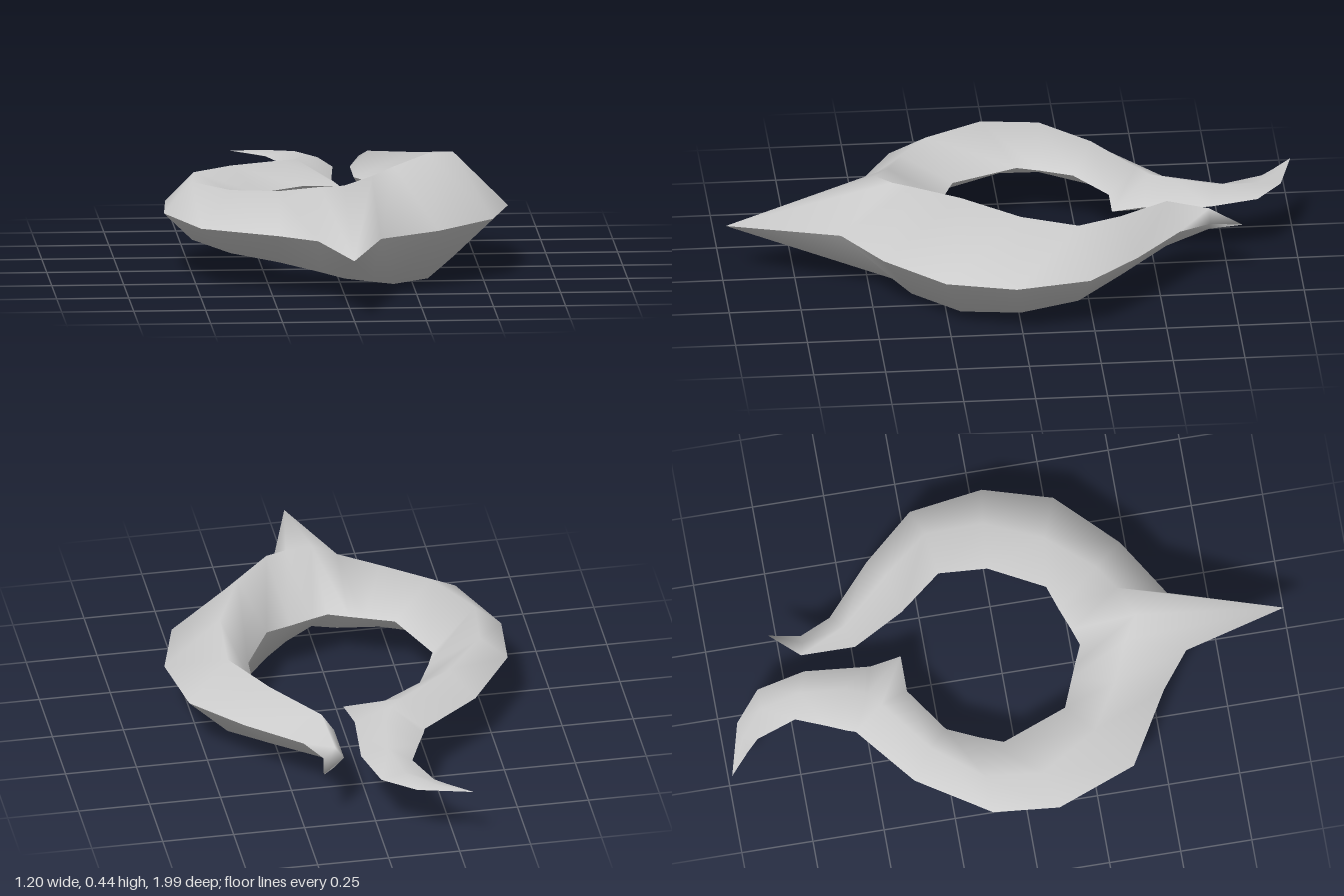
import * as THREE from 'three';

// Cross-sections: outer rim x,z, crest x,z, crest height, inner rim x,z
const tipLeft = [0.19, -0.79];
const tipRight = [-0.30, -1.0];
const leftHorn = [ // from the short horn forwards to the front spike
  [0.17, -0.68, 0.13, -0.68, 0.275, 0.10, -0.69],
  [0.22, -0.57, 0.15, -0.53, 0.32, 0.10, -0.50],
  [0.40, -0.41, 0.30, -0.36, 0.345, 0.20, -0.32],
  [0.56, -0.23, 0.42, -0.20, 0.375, 0.32, -0.17],
  [0.60, 0.03, 0.41, 0.00, 0.413, 0.31, 0.00],
  [0.53, 0.27, 0.31, 0.20, 0.445, 0.21, 0.19],
  [0.33, 0.47, 0.18, 0.36, 0.43, 0.12, 0.22],
  [0.12, 0.60, 0.10, 0.42, 0.408, 0.04, 0.25],
];
const spike = [[0, 0.99, 0, 0.47, 0.385, -0.02, 0.27]];
const rightHorn = [ // from the spike back to the long horn
  [-0.10, 0.63, -0.08, 0.42, 0.372, -0.09, 0.24],
  [-0.23, 0.53, -0.22, 0.36, 0.348, -0.14, 0.22],
  [-0.49, 0.38, -0.38, 0.26, 0.335, -0.24, 0.18],
  [-0.60, 0.10, -0.50, 0.06, 0.328, -0.33, -0.05],
  [-0.58, -0.13, -0.48, -0.14, 0.325, -0.30, -0.13],
  [-0.42, -0.38, -0.34, -0.31, 0.315, -0.25, -0.24],
  [-0.21, -0.55, -0.15, -0.45, 0.305, -0.09, -0.35],
  [-0.20, -0.58, -0.10, -0.49, 0.30, 0.04, -0.35],
  [-0.17, -0.65, -0.07, -0.57, 0.295, 0.02, -0.46],
  [-0.13, -0.75, -0.05, -0.72, 0.275, 0.04, -0.69],
  [-0.18, -0.89, -0.08, -0.86, 0.26, 0.00, -0.86],
  [-0.22, -0.93, -0.17, -0.94, 0.25, -0.11, -0.95],
];

// The rim plane rises slightly towards the back
const rimY = (z) => 0.227 - 0.012 * z;

// One half of the diamond section; side = 1 is the top, -1 the underside
function shell(side) {
  const pos = [], index = [];
  const add = (x, z, rise = 0) => pos.push(x, rimY(z) + side * rise, z) / 3 - 1;
  const tri = (a, b, c) => (side > 0 ? index.push(a, b, c) : index.push(a, c, b));
  const start = add(...tipLeft);
  const rows = [...leftHorn, ...spike, ...rightHorn].map(([ox, oz, cx, cz, top, ix, iz]) =>
    [add(ox, oz), add(cx, cz, top - rimY(cz)), add(ix, iz)]);
  const end = add(...tipRight);
  rows.forEach((row, i) => {
    const next = rows[i + 1];
    for (let k = 0; k < 2; k++) {
      if (i === 0) tri(start, row[k], row[k + 1]);
      if (!next) { tri(row[k], row[k + 1], end); continue; }
      // Diagonals mirror across the spike
      if (i < leftHorn.length) {
        tri(row[k], row[k + 1], next[k]);
        tri(row[k + 1], next[k + 1], next[k]);
      } else {
        tri(row[k], row[k + 1], next[k + 1]);
        tri(row[k], next[k + 1], next[k]);
      }
    }
  });
  // The first fan runs the other way round the tip
  const geo = new THREE.BufferGeometry();
  geo.setAttribute('position', new THREE.Float32BufferAttribute(pos, 3));
  geo.setIndex(index);
  geo.computeVertexNormals();
  return geo;
}

export function createModel() {
  const group = new THREE.Group();
  group.name = 'hornedRing';
  const grey = new THREE.MeshStandardMaterial({ color: 0xcccccc, side: THREE.DoubleSide });
  grey.name = 'light grey';
  for (const [name, side] of [['upperShell', 1], ['lowerShell', -1]]) {
    const mesh = new THREE.Mesh(shell(side), grey);
    mesh.name = name;
    group.add(mesh);
  }
  return group;
}
